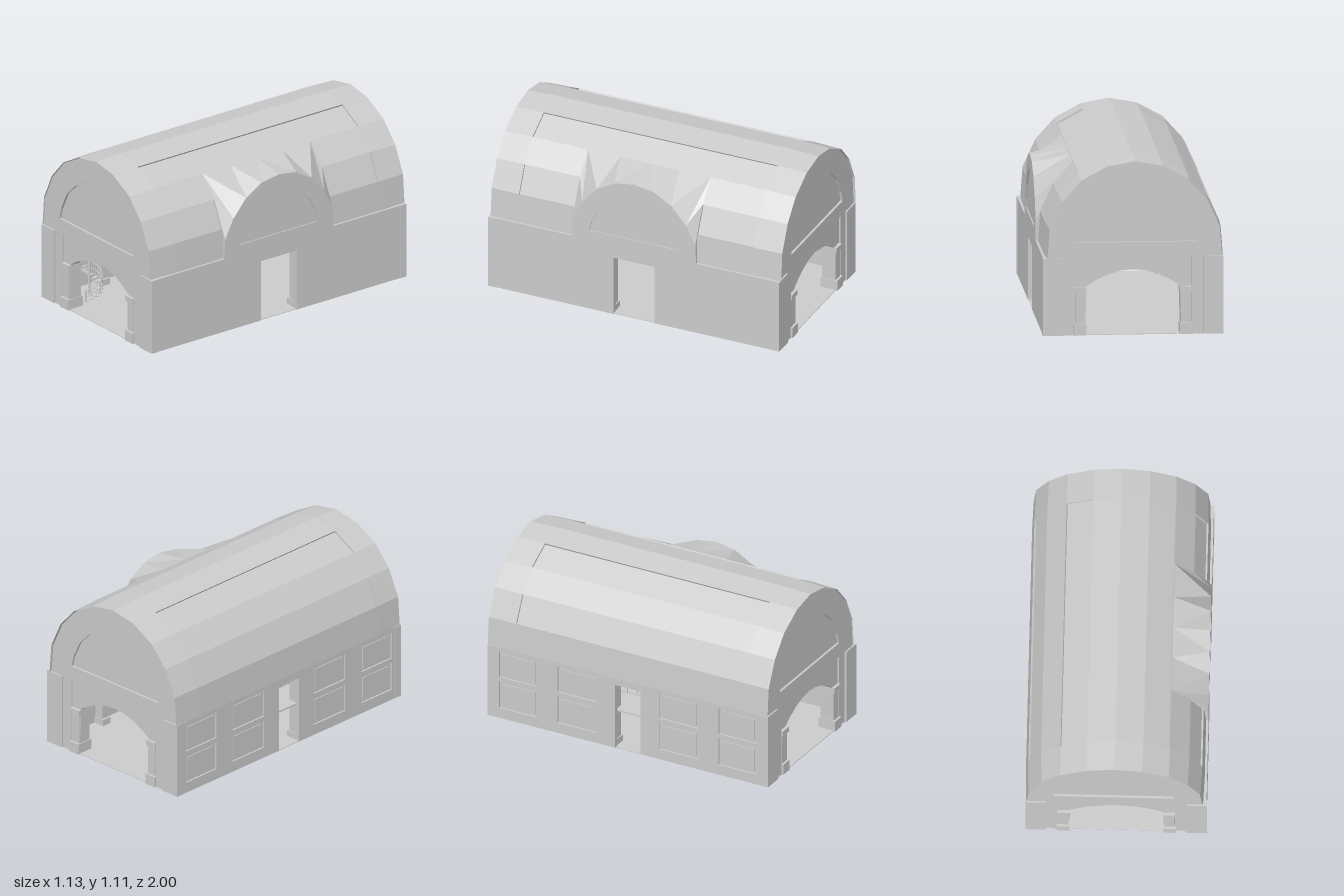
import * as THREE from 'three';

const CX = -0.01; // roof axis
const half = [[.555, .49], [.54, .68], [.46, .853], [.34, .987], [.175, 1.077], [0, 1.108]];
// mirror a half profile (ending on the axis) into a full one
const mirror = (pts, cx = 0) => [
  ...pts.map(([x, y]) => [cx + x, y]),
  ...pts.slice(0, -1).reverse().map(([x, y]) => [cx - x, y]),
];
const profile = mirror(half, CX);
const scaled = (k) => profile.map(([x, y]) => [CX + (x - CX) * k, .49 + (y - .49) * k]);
const toShape = (pts) => new THREE.Shape(pts.map(([x, y]) => new THREE.Vector2(x, y)));
const rect = (x0, x1, y0, y1) => toShape([[x0, y0], [x1, y0], [x1, y1], [x0, y1]]);

export function createModel() {
  const root = new THREE.Group();
  root.name = 'vaultedHall';
  const mat = new THREE.MeshStandardMaterial({ color: 0xcccccc, flatShading: true, side: THREE.DoubleSide });

  const add = (name, geo, parent = root) => {
    const m = new THREE.Mesh(geo, mat);
    m.name = name;
    parent.add(m);
    return m;
  };
  const box = (name, x0, x1, y0, y1, z0, z1, parent) => {
    const g = new THREE.BoxGeometry(Math.abs(x1 - x0), y1 - y0, Math.abs(z1 - z0));
    g.translate((x0 + x1) / 2, (y0 + y1) / 2, (z0 + z1) / 2);
    return add(name, g, parent);
  };
  // slab in the xy plane between two z values
  const slabZ = (name, shape, za, zb) => {
    const g = new THREE.ExtrudeGeometry(shape, { depth: Math.abs(zb - za), bevelEnabled: false });
    return add(name, g.translate(0, 0, Math.min(za, zb)));
  };
  // slab drawn as (-z, y) between two x values
  const slabX = (name, shape, xa, xb) => {
    const g = new THREE.ExtrudeGeometry(shape, { depth: xb - xa, bevelEnabled: false });
    return add(name, g.rotateY(Math.PI / 2).translate(xa, 0, 0));
  };
  const quads = (name, list) => {
    const pos = [];
    list.forEach(([a, b, c, d]) => pos.push(...a, ...b, ...c, ...a, ...c, ...d));
    const g = new THREE.BufferGeometry();
    g.setAttribute('position', new THREE.Float32BufferAttribute(pos, 3));
    g.computeVertexNormals();
    return add(name, g);
  };

  box('floor', -.56, .555, 0, .004, -.985, .985);

  // Roof: one strip per profile segment, some cells sunk as panels
  const ends = scaled(.988);
  const roofPoint = (i, z) => [...(Math.abs(z) > .9 ? ends : profile)[i], z];
  const roof = [];
  for (let i = 0; i < profile.length - 1; i++) {
    const long = [3, 6, 8].includes(i);
    const zs = long ? [-.998, -.8, .8, .99] : [-.998, -.8, -.42, .42, .8, .99];
    for (let k = 0; k < zs.length - 1; k++) {
      if (i < 3 && k === 2) continue; // gap for the side dormer
      const c = [roofPoint(i, zs[k]), roofPoint(i + 1, zs[k]), roofPoint(i + 1, zs[k + 1]), roofPoint(i, zs[k + 1])];
      const sunk = long ? k === 1 : i === 1 && (k === 1 || k === 3);
      if (!sunk) { roof.push(c); continue; }
      const dx = c[1][0] - c[0][0], dy = c[1][1] - c[0][1], l = Math.hypot(dx, dy);
      const low = c.map(([x, y, z]) => [x - dy / l * .012, y + dx / l * .012, z]);
      roof.push(low);
      c.forEach((p, j) => roof.push([p, c[(j + 1) % 4], low[(j + 1) % 4], low[j]]));
    }
  }
  quads('roof', roof);

  // Dormer vault blending the side arch into the roof
  const archHalf = [[.425, .49], [.42, .62], [.355, .745], [.255, .86], [.135, .93], [0, .952]];
  const rear = [[0, .42], [1, .42], [2, .42], [3, .42], [3, .2], [3, 0]];
  const dormer = [];
  for (const s of [1, -1]) {
    for (let i = 0; i < 5; i++) {
      const f = (j) => [.56, archHalf[j][1], s * archHalf[j][0]];
      const r = (j) => [...profile[rear[j][0]], s * rear[j][1]];
      dormer.push(s > 0 ? [f(i), f(i + 1), r(i + 1), r(i)] : [f(i), r(i), r(i + 1), f(i + 1)]);
    }
  }
  quads('dormerVault', dormer);

  // Right wall rising into the dormer face, with a doorway and a shallow lunette
  const right = toShape([[-.985, 0], [-.14, 0], [-.14, .4], [.14, .4], [.14, 0], [.985, 0], [.985, .49],
    ...mirror(archHalf), [-.985, .49]]);
  const lunette = (r, h, y, cx) => toShape(mirror([[1, 0], [.955, .2], [.8, .54], [.57, .78], [.31, .945], [0, 1]]
    .map(([a, b]) => [a * r, y + b * h]), cx));
  right.holes.push(lunette(.305, .3, .555, 0));
  slabX('rightWall', right, .53, .56);
  slabX('dormerLunette', lunette(.305, .3, .555, 0), .535, .553);

  // Left wall with two rows of sunken panels and a tall doorway
  const left = toShape([[-.985, 0], [-.09, 0], [-.09, .44], [.09, .44], [.09, 0], [.985, 0], [.985, .49], [-.985, .49]]);
  for (const s of [1, -1]) {
    for (const [a, b] of [[.22, .5], [.645, .915]]) {
      for (const [y0, y1] of [[.07, .255], [.285, .465]]) {
        const u0 = Math.min(s * a, s * b), u1 = Math.max(s * a, s * b);
        left.holes.push(rect(u0, u1, y0, y1));
        slabX('wallPanel', rect(u0, u1, y0, y1), -.545, -.551);
        box('wallPanel', -.55, -.536, y0, y1, -u0, -u1);
        box('panelField', -.557, -.545, y0 + .018, y1 - .018, -u0 - .018, -u1 + .018);
      }
    }
  }
  slabX('leftWall', left, -.562, -.535);

  // End walls: gable, portal, strips, corner pilasters and gate piers
  const gate = [[.292, .3], [.285, .31], [.23, .345], [.16, .378], [.08, .402], [0, .41]];
  for (const s of [1, -1]) {
    const gable = toShape(scaled(.98));
    gable.holes.push(lunette(.377, .352, .585, -.016));
    slabZ('gable', gable, s * .95, s * .985);
    slabZ('gableLunette', lunette(.377, .352, .585, -.016), s * .951, s * .97);
    slabZ('portalArch', toShape([[.365, 0], [.365, .49], [-.365, .49], [-.365, 0], [-.296, 0],
      ...mirror(gate).reverse(), [.296, 0]]), s * .9, s * .972);
    for (const m of [1, -1]) {
      box('portalStrip', m * .365, m * .436, 0, .49, s * .9, s * .983);
      box('cornerPilaster', m * .436, m * .563, 0, .49, s * .95, s * .995);
      box('gatePier', m * .297, m * .36, .07, .265, s * .89, s * .982);
      box('gatePierBase', m * .29, m * .37, 0, .07, s * .88, s * .997);
      box('gatePierCapital', m * .29, m * .366, .265, .3, s * .885, s * .992);
    }
  }

  // Inner vault with ribs standing on wall piers
  const inner = scaled(.94);
  quads('innerVault', inner.slice(1).map((p, i) => [
    [...inner[i], -.95], [...inner[i], .95], [...p, .95], [...p, -.95]]));
  for (const z of [-.575, -.15, .15, .575]) {
    slabZ('vaultRib', toShape([...scaled(.96), ...scaled(.87).reverse()]), z - .03, z + .03);
    for (const m of [1, -1]) {
      const pz = Math.abs(z) > .3 ? z : Math.sign(z) * (m > 0 ? .175 : .125);
      box('wallPier', m * .47, m * .54, 0, .46, pz - .025, pz + .025);
      box('wallPierBase', m * .455, m * .54, 0, .045, pz - .032, pz + .032);
      box('wallPierCapital', m * .455, m * .54, .46, .5, pz - .032, pz + .032);
    }
  }

  // Gallery with railing along the left wall
  box('gallery', -.536, -.31, .245, .255, -.86, .71);
  for (const y of [.262, .3, .335]) box('galleryRail', -.316, -.311, y - .003, y + .003, -.86, .71);
  for (let i = 0; i <= 24; i++) {
    const z = -.858 + i * 1.566 / 24;
    box('galleryBaluster', -.316, -.311, .255, .335, z - .002, z + .002);
  }

  // Spiral stair up to the gallery
  const stair = new THREE.Group();
  stair.name = 'spiralStair';
  stair.position.set(-.337, 0, .795);
  root.add(stair);
  add('stairPole', new THREE.CylinderGeometry(.008, .008, .34, 8).translate(0, .17, 0), stair);
  const steps = 15, rails = [[], []];
  for (let i = 0; i < steps; i++) {
    const a = -.9 + i * .4, y = .022 + i * .0155;
    const tread = toShape([[0, 0], [.084, -.018], [.084, .018]]);
    add('stairTread', new THREE.ExtrudeGeometry(tread, { depth: .005, bevelEnabled: false })
      .rotateX(-Math.PI / 2).rotateY(a).translate(0, y, 0), stair);
    const x = .082 * Math.cos(a), z = -.082 * Math.sin(a);
    add('stairBaluster', new THREE.CylinderGeometry(.002, .002, .08, 5).translate(x, y + .04, z), stair);
    rails[0].push(new THREE.Vector3(x, y + .04, z));
    rails[1].push(new THREE.Vector3(x, y + .08, z));
  }
  rails.forEach((r) => add('stairRail', new THREE.TubeGeometry(new THREE.CatmullRomCurve3(r), 45, .0028, 5), stair));

  return root;
}
